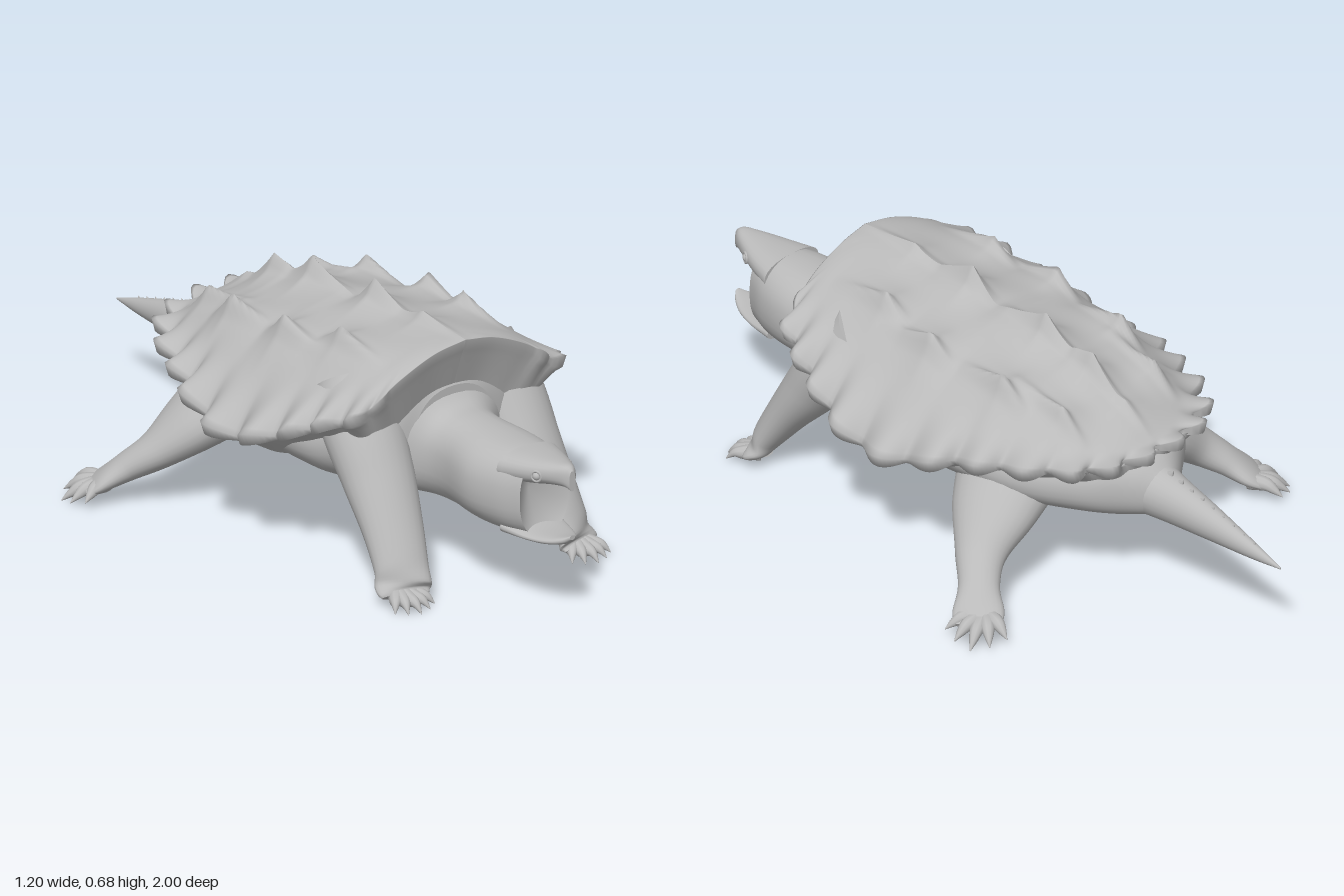
import * as THREE from 'three';

const skin = new THREE.MeshStandardMaterial({ color: 0xbababa });
skin.name = 'stone grey';

function build(verts, index, name) {
  const g = new THREE.BufferGeometry();
  g.setAttribute('position', new THREE.Float32BufferAttribute(verts, 3));
  g.setIndex(index);
  g.computeVertexNormals();
  const mesh = new THREE.Mesh(g, skin);
  mesh.name = name;
  return mesh;
}

// Smooth loft through sections [x, y, z, halfWidth, halfHeight]; upright keeps every section in a z plane,
// dent pushes the end cap inward
function loft(name, sections, { sides = 24, steps = 6, square = 1, dent = 0, upright = false } = {}) {
  const path = new THREE.CatmullRomCurve3(sections.map(s => new THREE.Vector3(s[0], s[1], s[2])), false, 'catmullrom');
  const size = new THREE.CatmullRomCurve3(sections.map(s => new THREE.Vector3(s[3], s[4], 0)), false, 'catmullrom');
  const n = (sections.length - 1) * steps, verts = [], index = [];
  const up = new THREE.Vector3(0, 1, 0);
  const bend = v => Math.sign(v) * Math.pow(Math.abs(v), square);
  for (let i = 0; i <= n; i++) {
    const c = path.getPoint(i / n), r = size.getPoint(i / n), t = path.getTangent(i / n);
    if (upright) t.set(0, 0, Math.sign(t.z));
    const side = up.clone().cross(t).normalize(), norm = t.clone().cross(side);
    for (let j = 0; j < sides; j++) {
      const a = j / sides * Math.PI * 2;
      const p = c.clone().addScaledVector(side, bend(Math.cos(a)) * Math.max(r.x, 0.0005))
        .addScaledVector(norm, bend(Math.sin(a)) * Math.max(r.y, 0.0005));
      verts.push(p.x, p.y, p.z);
      if (i < n) {
        const k = (j + 1) % sides, A = i * sides, B = A + sides;
        index.push(A + j, A + k, B + k, A + j, B + k, B + j);
      }
    }
  }
  // end caps with their own vertices so the rims stay sharp
  for (const [row, t] of [[0, 0], [n, 1]]) {
    const base = verts.length / 3;
    for (let j = 0; j < sides * 3; j++) verts.push(verts[row * sides * 3 + j]);
    const c = path.getPoint(t);
    if (t) c.addScaledVector(path.getTangent(1), -dent);
    verts.push(c.x, c.y, c.z);
    for (let j = 0; j < sides; j++) {
      const k = (j + 1) % sides;
      if (t) index.push(base + sides, base + j, base + k);
      else index.push(base + sides, base + k, base + j);
    }
  }
  return build(verts, index, name);
}

// Loft along z, sections given as [z, halfWidth, bottom, top]
const along = (name, rows, options) =>
  loft(name, rows.map(([z, w, b, t]) => [0, (b + t) / 2, z, w, (t - b) / 2]), { upright: true, ...options });

// Shell rim, front to back on the left side
const RIM = [[0, .645, .53], [.1, .625, .525], [.21, .575, .52], [.315, .5, .5], [.37, .46, .41], [.41, .41, .3],
  [.44, .37, .2], [.45, .345, .1], [.445, .345, 0], [.42, .37, -.1], [.38, .39, -.2], [.34, .40, -.3],
  [.29, .41, -.4], [.225, .415, -.48], [.13, .42, -.535], [0, .425, -.555]];
// Rim points, counted along RIM, where the scutes come to a tip
const TIPS = [2.4, 3.2, 4.1, 4.9, 6.1, 7.7, 9.2, 10.4, 11.6, 12.8, 13.75, 14.6, 15.4];
const CREST = [[.53, .645], [.25, .615], [0, .597], [-.25, .55], [-.45, .475], [-.56, .43]];
const MID_PEAKS = [[.34, 0, .04], [.13, 0, .08], [-.14, 0, .08], [-.31, 0, .07], [-.43, 0, .03]];
const SIDE_PEAKS = [[.25, .2, .065], [.05, .235, .075], [-.2, .22, .075], [-.37, .17, .06]];

function crestHeight(z) {
  for (let i = 1; i < CREST.length; i++) {
    const [z0, y0] = CREST[i - 1], [z1, y1] = CREST[i];
    if (z >= z1) return THREE.MathUtils.lerp(y0, y1, Math.max(0, (z0 - z) / (z0 - z1)));
  }
  return .43;
}

// Keel spikes: long slope in front, steep drop behind, narrow crest on a broad mound
function keels(x, z) {
  let h = 0;
  for (const [pz, px, a] of [...MID_PEAKS, ...SIDE_PEAKS]) {
    const d = z - pz, dx = Math.abs(x) - px;
    const s = Math.pow(Math.max(0, 1 - (d > 0 ? d / .2 : -d / .09)), 1.3);
    h += a * s * (.5 * Math.exp(-((dx / .016) ** 2)) + .5 * Math.exp(-((dx / .065) ** 2)));
  }
  return h;
}

// 1 at a scute tip, 0 in the notch between two
function scute(phase) {
  const i = TIPS.findIndex(t => t > phase);
  if (i < 1) return .35;
  const u = (phase - TIPS[i - 1]) / (TIPS[i] - TIPS[i - 1]);
  return Math.pow(Math.abs(Math.cos(Math.PI * u)), 1.4);
}

function makeShell() {
  const pts = RIM.map(p => new THREE.Vector3(...p));
  const left = new THREE.CatmullRomCurve3(pts, false, 'catmullrom');
  const half = 150, cols = half * 2, rows = 40, verts = [], index = [];
  // extra rows fold under the rim into the body: [fraction out, drop]
  const under = [[.985, .022], [.95, .035], [.91, .055], [.85, .09], [.78, .13], [.68, .19]];
  for (let r = 0; r <= rows + under.length; r++) {
    const fold = r > rows ? under[r - rows - 1] : null;
    const v = fold ? fold[0] : r / rows;
    for (let c = 0; c <= cols; c++) {
      const sgn = c <= half ? 1 : -1, t = c <= half ? c / half : (cols - c) / half;
      const p = left.getPoint(t), phase = t * (RIM.length - 1);
      const point = scute(phase);
      const fade = THREE.MathUtils.smoothstep(phase, 1.8, 3.5);
      const front = 1 - THREE.MathUtils.smoothstep(phase, 2.5, 5);
      const tip = fade * (point - .35) * Math.pow(v, 10);
      // outward direction of the rim in plan
      const tan = left.getTangent(t), len = Math.hypot(tan.x, tan.z);
      const ox = -tan.z / len, oz = tan.x / len;
      const x = p.x * v + ox * tip * .048;
      let z = THREE.MathUtils.lerp(p.z * .86, p.z, v) + oz * tip * .048 - tip * .012;
      let y;
      if (fold) {
        y = p.y - fold[1] * (fold[1] < .03 ? 1 : .45 + .55 * front);
        z -= front * fold[1] * .25;
      } else {
        y = p.y + (crestHeight(z) - p.y) * (1 - Math.pow(v, 2.3));
        y += keels(x, z) * (1 - Math.pow(v, 8));
        y += fade * (point - .5) * .01 * THREE.MathUtils.smoothstep(v, .72, .95) + tip * .012;
      }
      verts.push(sgn * Math.max(x, 0), y, z);
      if (r < rows + under.length && c < cols) {
        const a = r * (cols + 1) + c, b = a + cols + 1;
        index.push(a, b, b + 1, a, b + 1, a + 1);
      }
    }
  }
  return build(verts, index, 'shell');
}

// Leg with a fan of clawed toes; mirrored by s
function makeLeg(name, s, sections, foot, heading, spread, reach, lift) {
  const leg = new THREE.Group();
  leg.name = name;
  const flip = p => [s * p[0], ...p.slice(1)];
  leg.add(loft('limb', sections.map(flip)));
  for (let i = -2; i <= 2; i++) {
    const a = heading + i * spread, l = reach * (1 - .04 * Math.abs(i)), up = lift * Math.abs(i);
    const at = (f, y, r) => flip([foot[0] + Math.sin(a) * l * f, y + up * f, foot[2] + Math.cos(a) * l * f, r, r]);
    leg.add(loft('toe', [at(.15, foot[1], .024), at(.55, foot[1] - .006, .019), at(.78, .026, .012), at(1, .006, .001)],
      { sides: 10, steps: 4 }));
  }
  return leg;
}

export function createModel() {
  const model = new THREE.Group();
  model.name = 'turtle';
  model.add(makeShell());

  // torso
  model.add(along('body', [[.48, .13, .24, .5], [.46, .2, .22, .53], [.4, .29, .215, .56], [.3, .345, .212, .5],
    [.1, .36, .22, .5], [-.1, .35, .225, .5], [-.3, .3, .215, .46], [-.45, .2, .215, .43], [-.53, .11, .222, .4],
    [-.58, .05, .24, .355]], { sides: 40, square: .9 }));

  // neck and head, with the mouth hollowed into its end
  const head = new THREE.Group();
  head.name = 'head';
  head.add(along('neck', [[.4, .25, .2, .54], [.46, .17, .2, .495], [.51, .125, .2, .455], [.58, .113, .2, .445],
    [.7, .13, .2, .44], [.8, .113, .202, .44], [.875, .08, .21, .437]], { sides: 32, square: .85, dent: .07 }));
  head.add(along('upperBeak', [[.8, .1, .35, .44], [.88, .072, .365, .441], [.94, .045, .378, .443],
    [.98, .024, .382, .443], [.998, .01, .375, .432]], { square: .85 }));
  head.add(along('lowerJaw', [[.8, .09, .203, .25], [.88, .072, .208, .236], [.94, .051, .212, .236],
    [.98, .027, .222, .243], [.998, .008, .237, .25]], { square: .85 }));
  for (const s of [-1, 1]) {
    const eye = new THREE.Mesh(new THREE.SphereGeometry(.012, 16, 12), skin);
    eye.name = 'eye';
    eye.position.set(s * .052, .403, .912);
    const lid = new THREE.Mesh(new THREE.TorusGeometry(.014, .004, 8, 20), skin);
    lid.name = 'eyelid';
    lid.position.set(s * .055, .403, .914);
    lid.rotation.y = s * 1.08;
    head.add(eye, lid);
  }
  model.add(head);

  // tail with a row of small spikes on top
  model.add(along('tail', [[-1, .002, .238, .243], [-.9, .018, .23, .276], [-.75, .039, .225, .32],
    [-.58, .066, .22, .362], [-.4, .12, .215, .41]]));
  for (let i = 0; i < 9; i++) {
    const k = 1 - i * .07;
    const spike = new THREE.Mesh(new THREE.ConeGeometry(.014 * k, .026 * k, 8), skin);
    spike.name = 'tailSpike';
    spike.position.set(0, .362 - i * .0108, -.6 - i * .038);
    spike.rotation.x = -.6;
    spike.scale.x = .6;
    model.add(spike);
  }

  for (const [s, side] of [[1, 'Left'], [-1, 'Right']]) {
    model.add(makeLeg('front' + side + 'Leg', s, [[.2, .5, .31, .11, .1], [.225, .41, .38, .112, .098], [.237, .29, .468, .1, .08],
      [.252, .18, .55, .084, .058], [.268, .09, .61, .074, .042], [.28, .048, .635, .076, .027], [.285, .034, .652, .066, .013]],
    [.285, .036, .61], .02, .32, .115, .002));
    model.add(makeLeg('hind' + side + 'Leg', s, [[.2, .31, -.21, .15, .1], [.31, .225, -.25, .115, .075],
      [.395, .155, -.29, .07, .052], [.455, .104, -.342, .055, .038], [.5, .064, -.385, .068, .025], [.53, .042, -.41, .062, .012]],
    [.48, .048, -.39], 2.03, .42, .125, .012));
  }
  return model;
}
